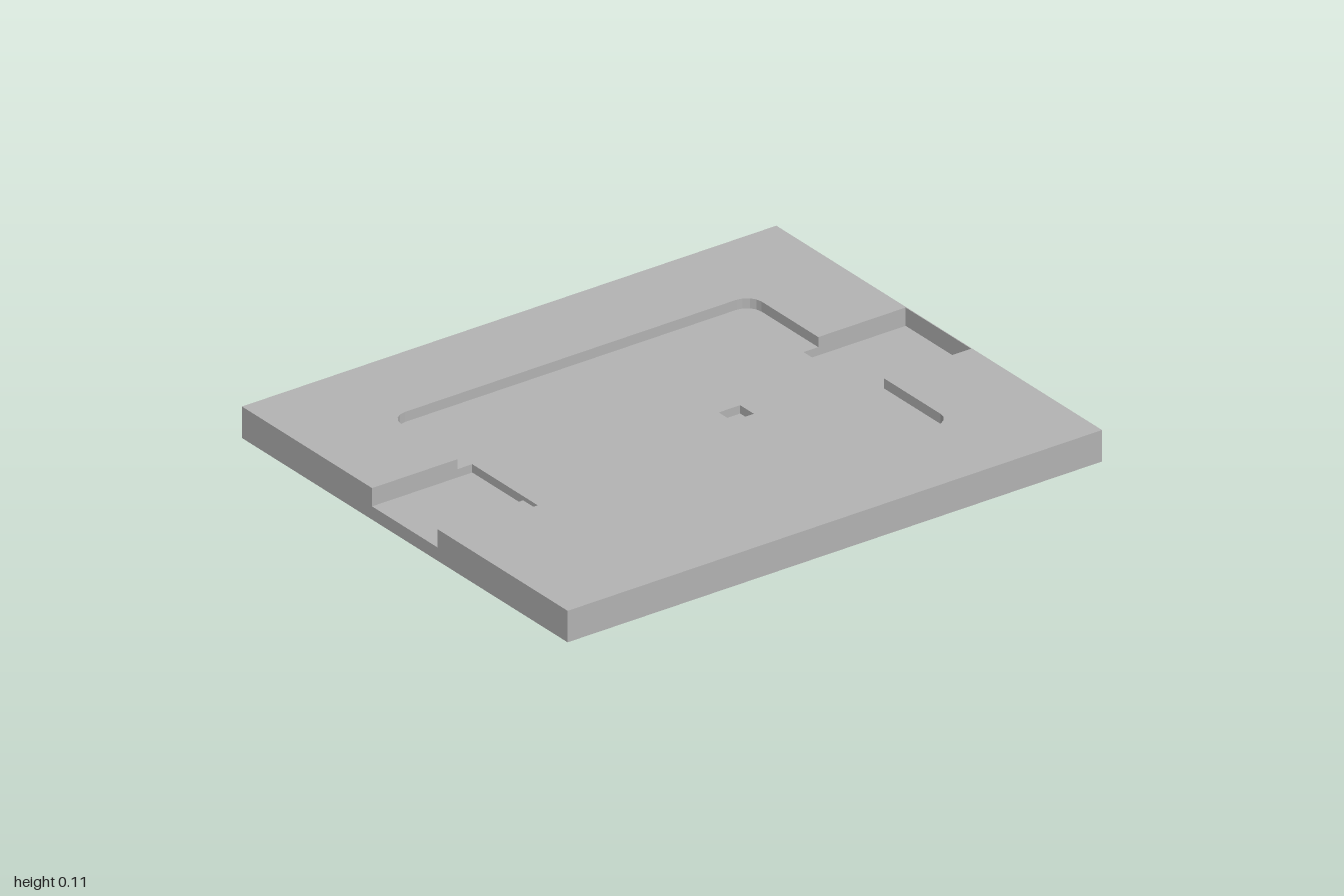
import * as THREE from 'three';

const HEIGHT = 0.107, POCKET_Y = 0.073, SLOT_Y = 0.045;
const HX = 1, HZ = 0.83; // half footprint
const SLOT_Z = 0.167; // half width of the side slots
const SLOT_L = -0.625, SLOT_R = 0.615, LIP = 0.997; // slot ends along x
const PX0 = -0.68, PX1 = 0.67, PZ = 0.51, R = 0.055; // pocket extents

// Horizontal face from [x, z] points, facing up
function cap(points, y, holes = []) {
  const to2d = (list) => list.map(([x, z]) => new THREE.Vector2(x, -z));
  const shape = new THREE.Shape(to2d(points));
  for (const hole of holes) shape.holes.push(new THREE.Path(to2d(hole)));
  return new THREE.ShapeGeometry(shape).rotateX(-Math.PI / 2).translate(0, y, 0);
}

// Upright faces along a closed loop; counter-clockwise from above faces outward
function walls(points, y0, y1) {
  const pos = [];
  points.forEach(([ax, az], i) => {
    const [bx, bz] = points[(i + 1) % points.length];
    pos.push(ax, y0, az, bx, y0, bz, bx, y1, bz);
    pos.push(ax, y0, az, bx, y1, bz, ax, y1, az);
  });
  const geo = new THREE.BufferGeometry();
  geo.setAttribute('position', new THREE.Float32BufferAttribute(pos, 3));
  geo.computeVertexNormals();
  return geo;
}

// Clockwise rectangle, so its walls face inward
const rect = (x0, x1, z0, z1) => [[x0, z0], [x1, z0], [x1, z1], [x0, z1]];

// Rounded pocket corner
function corner(cx, cz, start) {
  return Array.from({ length: 5 }, (_, i) => {
    const a = start + (i / 4) * Math.PI / 2;
    return [cx + R * Math.cos(a), cz + R * Math.sin(a)];
  });
}

export function createModel() {
  const group = new THREE.Group();
  const grey = new THREE.MeshStandardMaterial({ color: 0xb3b3b3 });
  grey.name = 'plate grey';
  const add = (name, geo) => {
    const mesh = new THREE.Mesh(geo, grey);
    mesh.name = name;
    group.add(mesh);
  };

  // Outer edge, starting and ending at the open slot
  const outer = [[-HX, SLOT_Z], [-HX, HZ], [HX, HZ], [HX, -HZ], [-HX, -HZ], [-HX, -SLOT_Z]];
  // Back and front halves of the pocket edge
  const back = [[PX0, -SLOT_Z], ...corner(PX0 + R, -PZ + R, Math.PI),
    ...corner(PX1 - R, -PZ + R, Math.PI * 1.5), [PX1, -SLOT_Z]];
  const front = [[PX1, SLOT_Z], ...corner(PX1 - R, PZ - R, 0),
    ...corner(PX0 + R, PZ - R, Math.PI / 2), [PX0, SLOT_Z]];

  // Rim around the pocket and both slots
  const rim = [...outer, ...back, [LIP, -SLOT_Z], [LIP, SLOT_Z], ...front];
  add('rimTop', cap(rim, HEIGHT));
  add('rimWalls', walls(rim, POCKET_Y, HEIGHT));

  // Pocket floor with its small square pit
  const pit = rect(0.175, 0.255, 0, 0.07);
  const floor = [...back, [SLOT_R, -SLOT_Z], [SLOT_R, SLOT_Z],
    ...front, [SLOT_L, SLOT_Z], [SLOT_L, -SLOT_Z]];
  add('pocketFloor', cap(floor, POCKET_Y, [pit]));
  add('pitWalls', walls(pit, SLOT_Y, POCKET_Y));
  add('pitFloor', cap(pit, SLOT_Y));

  // Side slots: one open at the edge, one closed by a thin lip
  const openSlot = rect(-HX, SLOT_L, -SLOT_Z, SLOT_Z);
  const closedSlot = rect(SLOT_R, LIP, -SLOT_Z, SLOT_Z);
  add('openSlotFloor', cap(openSlot, SLOT_Y));
  add('closedSlotFloor', cap(closedSlot, SLOT_Y));
  add('closedSlotWalls', walls(closedSlot, SLOT_Y, POCKET_Y));
  add('middleWalls', walls([...outer, [SLOT_L, -SLOT_Z], [SLOT_L, SLOT_Z]], SLOT_Y, POCKET_Y));

  // Solid base
  add('baseWalls', walls(outer, 0, SLOT_Y));
  add('underside', new THREE.PlaneGeometry(2 * HX, 2 * HZ).rotateX(Math.PI / 2));
  return group;
}
